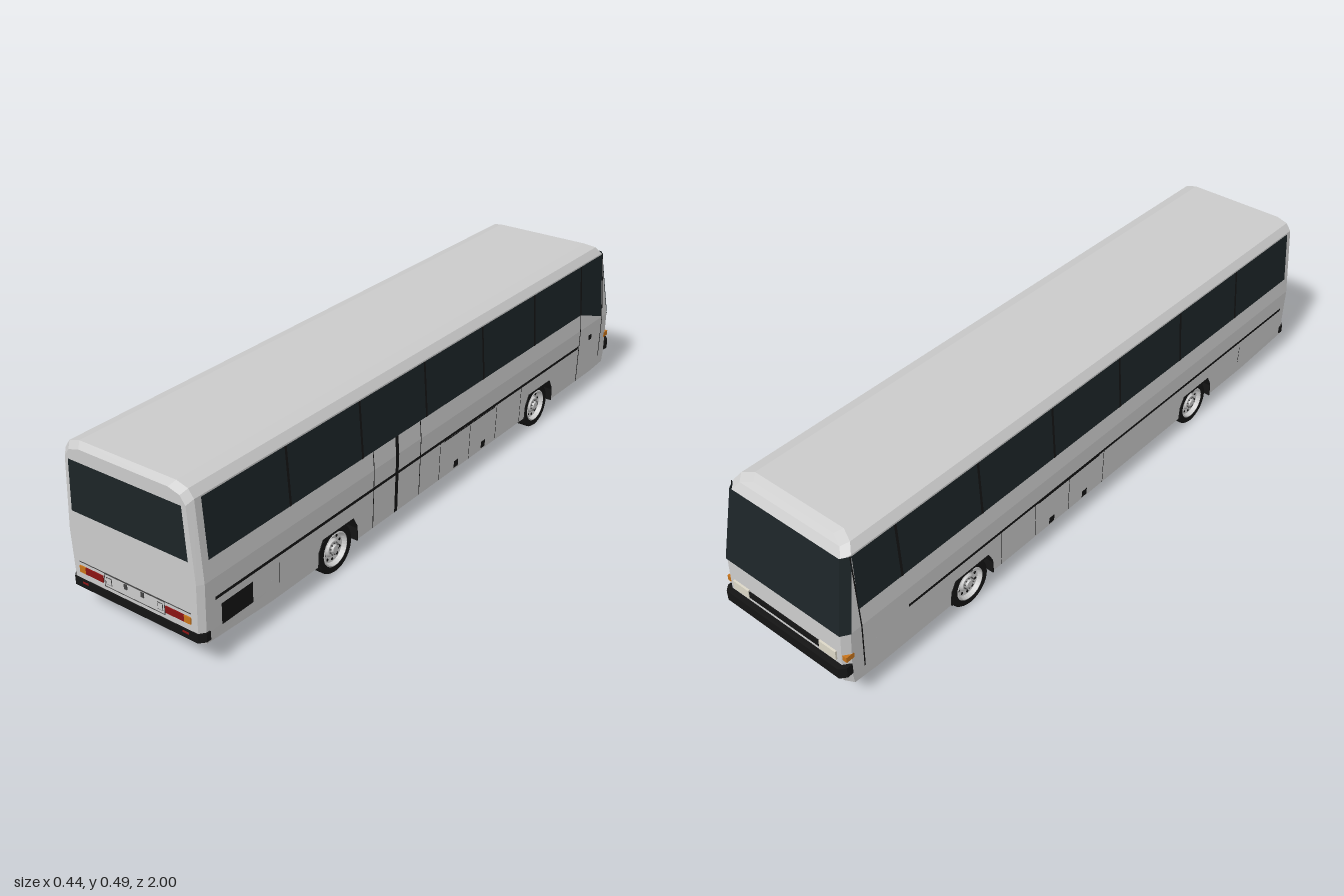
import * as THREE from 'three';

const mat = (color, side = THREE.FrontSide) =>
  new THREE.MeshStandardMaterial({ color, side, flatShading: true });
const grey = mat(0xcccccc), black = mat(0x141414), darkGrey = mat(0x444444);
const greyThin = mat(0xcccccc, THREE.DoubleSide);
const glass = mat(0x1c2427, THREE.DoubleSide), trim = mat(0x141414, THREE.DoubleSide);
const red = mat(0x8a1414), amber = mat(0xc8741a), lamp = mat(0xddd8c8);

// Half width of the coach side at height y: widest at the belt
const half = y => y < 0.24 ? 0.214 + (y - 0.06) / 30 : 0.22 - (y - 0.24) * 0.0636;
// Position of the raked cab end at height y
const cabZ = y => y < 0.24 ? -0.98 : -0.98 + (y - 0.24) * 0.18;
const WHEELS = [0.485, -0.535];
const ARCH = [[-0.082, 0.06], [-0.08, 0.105], [-0.064, 0.135], [0.064, 0.135], [0.08, 0.105], [0.082, 0.06]];

function add(parent, name, geometry, material, x = 0, y = 0, z = 0) {
  const m = new THREE.Mesh(geometry, material);
  m.name = name;
  m.position.set(x, y, z);
  parent.add(m);
  return m;
}

function box(parent, name, material, w, h, d, x, y, z) {
  return add(parent, name, new THREE.BoxGeometry(w, h, d), material, x, y, z);
}

const shapeOf = pts => new THREE.Shape(pts.map(p => new THREE.Vector2(...p)));

// Polygon given as (z, y) and laid onto side s (+1 or -1)
function sidePatch(parent, name, pts, s, material, out = 0.0015) {
  const g = new THREE.ShapeGeometry(shapeOf(pts));
  const p = g.attributes.position;
  for (let i = 0; i < p.count; i++) {
    const z = p.getX(i), y = p.getY(i);
    p.setXYZ(i, s * (half(y) + out), y, z);
  }
  if (s > 0) g.setIndex(Array.from(g.index.array).reverse());
  g.computeVertexNormals();
  return add(parent, name, g, material);
}

// Rectangle on the side, split at the belt where the side bends
function sideRect(parent, name, z0, z1, y0, y1, s, material, out) {
  if (y0 < 0.24 && y1 > 0.24) {
    sideRect(parent, name, z0, z1, y0, 0.24, s, material, out);
    y0 = 0.24;
  }
  sidePatch(parent, name, [[z0, y0], [z1, y0], [z1, y1], [z0, y1]], s, material, out);
}

function triangles(quads) {
  const v = [];
  for (const [a, b, c, d] of quads) v.push(...a, ...b, ...c, ...a, ...c, ...d);
  const g = new THREE.BufferGeometry();
  g.setAttribute('position', new THREE.Float32BufferAttribute(v, 3));
  g.computeVertexNormals();
  return g;
}

// Shell lofted from the tail to the cab; the lower sides are left for the arched panels
function shell() {
  const profile = [[0.214, 0.06], [0.2153, 0.1], [0.22, 0.24], [0.206, 0.46], [0.19, 0.482], [0.155, 0.492]];
  const cab = [-0.98, -0.985, -0.98, -0.94, -0.925, -0.91];
  const stations = [
    { z: () => 0.996, inset: 0.012, drop: 0.014, low: 0.08 },
    { z: () => 0.98, inset: 0, drop: 0, low: 0.072 },
    { z: () => 0.75, inset: 0, drop: 0, low: 0.06 },
    { z: () => -0.88, inset: 0, drop: 0, low: 0.06 },
    { z: j => cab[j] + 0.02, inset: 0, drop: 0, low: 0.066 },
    { z: j => cab[j], inset: 0.015, drop: 0.01, low: 0.08 },
  ];
  const n = profile.length;
  const rings = stations.map(st => {
    const right = profile.map(([x, y], j) =>
      [x - st.inset, j === 0 ? st.low : j > 2 ? y - st.drop : y, st.z(j)]);
    return [...right, ...right.map(([x, y, z]) => [-x, y, z]).reverse()];
  });
  const quads = [];
  for (let i = 0; i < rings.length - 1; i++)
    for (let j = 0; j < 2 * n; j++) {
      const lowerSide = j < 2 || (j >= 2 * n - 3 && j < 2 * n - 1);
      if (i === 2 && lowerSide) continue;
      const k = (j + 1) % (2 * n), a = rings[i], b = rings[i + 1];
      quads.push([a[j], b[j], b[k], a[k]]);
    }
  const tail = rings[0], nose = rings[rings.length - 1];
  for (let j = 0; j < n - 1; j++) {
    const l = 2 * n - 1 - j;
    quads.push([tail[j], tail[j + 1], tail[l - 1], tail[l]]);
    quads.push([nose[l], nose[l - 1], nose[j + 1], nose[j]]);
  }
  return triangles(quads);
}

// Band wrapped round the cab end and its chamfered corners
function cabBand(y0, y1) {
  const row = y => [[-1, 0], [-1, 1], [1, 1], [1, 0]].map(([s, face]) =>
    face ? [s * (half(y) - 0.014), y, cabZ(y) - 0.004] : [s * (half(y) + 0.002), y, cabZ(y) + 0.02]);
  const a = row(y0), b = row(y1);
  return triangles([0, 1, 2].map(i => [a[i], b[i], b[i + 1], a[i + 1]]));
}

// Bumper with chamfered corners; dir is +1 at the tail and -1 at the cab
function bumper(parent, name, dir, y, h, depth) {
  const w = 0.219, e = depth;
  const g = new THREE.ExtrudeGeometry(
    shapeOf([[-w, -e], [w, -e], [w, -0.016], [w - 0.014, 0], [-w + 0.014, 0], [-w, -0.016]]),
    { depth: h, bevelEnabled: false });
  g.rotateX(Math.PI / 2);
  const m = add(parent, name, g, black, 0, y + h, dir);
  if (dir < 0) m.rotation.y = Math.PI;
}

function wheel(parent, s, z) {
  const g = new THREE.Group();
  g.name = 'wheel';
  const v = pts => pts.map(p => new THREE.Vector2(...p));
  const tyre = new THREE.LatheGeometry(v([[0.045, -0.026], [0.066, -0.026], [0.07, -0.021],
    [0.07, 0.021], [0.066, 0.026], [0.05, 0.026], [0.048, 0.018]]), 32);
  const rim = new THREE.LatheGeometry(v([[0.05, 0.025], [0.046, 0.027], [0.042, 0.014],
    [0.026, 0.012], [0.022, 0.02], [0.012, 0.02], [0.01, 0.026], [0, 0.026]]), 32);
  add(g, 'tyre', tyre, trim);
  add(g, 'rim', rim, greyThin);
  add(g, 'wheelBack', new THREE.CylinderGeometry(0.046, 0.046, 0.004, 24), black, 0, -0.022, 0);
  for (let i = 0; i < 10; i++) {
    const a = i * Math.PI / 5;
    add(g, 'wheelNut', new THREE.CylinderGeometry(0.002, 0.002, 0.004, 6), darkGrey,
      0.017 * Math.cos(a), 0.022, 0.017 * Math.sin(a));
    add(g, 'rimHole', new THREE.CylinderGeometry(0.004, 0.004, 0.002, 10), black,
      0.034 * Math.cos(a), 0.0135, 0.034 * Math.sin(a));
  }
  g.rotation.z = -s * Math.PI / 2;
  g.position.set(s * 0.181, 0.07, z);
  parent.add(g);
}

function side(parent, s) {
  // Lower panel with the wheel arches cut out
  const outline = [[-0.88, 0.06]];
  for (const wz of [...WHEELS].reverse()) outline.push(...ARCH.map(([z, y]) => [wz + z, y]));
  outline.push([0.75, 0.06], [0.75, 0.24], [-0.88, 0.24]);
  sidePatch(parent, 'lowerSidePanel', outline, s, greyThin, 0);

  for (const wz of WHEELS) {
    // Arch lining and the wall behind the wheel
    const inner = ARCH.map(([z, y]) => [z * 0.95, y > 0.06 ? y - 0.005 : y]);
    const lining = new THREE.ExtrudeGeometry(shapeOf([...ARCH, ...inner.reverse()]),
      { depth: 0.066, bevelEnabled: false });
    lining.rotateY(Math.PI / 2);
    add(parent, 'wheelArch', lining, trim, s > 0 ? 0.152 : -0.218, 0, wz);
    box(parent, 'archWall', black, 0.004, 0.075, 0.162, s * 0.15, 0.0975, wz);
    wheel(parent, s, wz);
  }

  // Window band, dipping beside the cab on one side
  const bottom = s > 0 ? [[-0.92, 0.245], [-0.78, 0.295]] : [[-0.925, 0.295]];
  sidePatch(parent, 'sideWindows', [...bottom, [0.96, 0.295], [0.96, 0.457], [-0.92, 0.457]], s, glass);
  for (let z = -0.78; z < 0.9; z += 0.29)
    sideRect(parent, 'windowDivider', z - 0.004, z + 0.004, 0.295, 0.457, s, trim, 0.0025);

  // Belt moulding, seams and locker locks
  sideRect(parent, 'beltMoulding', -0.77, 0.95, 0.181, 0.19, s, trim, 0.003);
  const seam = (z, y0, y1, w = 0.003) => sideRect(parent, 'seam', z - w / 2, z + w / 2, y0, y1, s, trim);
  for (const z of [0.02, -0.135, -0.28, -0.42]) seam(z, 0.062, 0.18, 0.002);
  sideRect(parent, 'lockerSeam', -0.27, 0, 0.176, 0.179, s, trim);
  for (const z of [-0.065, -0.21]) sideRect(parent, 'lockerLock', z - 0.011, z + 0.011, 0.068, 0.09, s, trim, 0.003);
  seam(0.72, 0.1, 0.16, 0.002);
  seam(-0.925, 0.1, 0.46, 0.004);
  if (s > 0) {
    // Doors and engine vent
    for (const z of [0.335, 0.12]) seam(z, 0.062, 0.295);
    seam(0.23, 0.062, 0.295, 0.014);
    seam(-0.78, 0.062, 0.295, 0.004);
    sideRect(parent, 'doorHandle', -0.86, -0.84, 0.186, 0.204, s, trim, 0.003);
    sideRect(parent, 'engineVent', 0.82, 0.93, 0.1, 0.16, s, trim, 0.003);
  }

  // Tail lamps and plate lamps
  box(parent, 'tailLamp', red, 0.06, 0.019, 0.006, s * 0.134, 0.134, 0.996);
  box(parent, 'tailIndicator', amber, 0.021, 0.019, 0.006, s * 0.1745, 0.134, 0.996);
  box(parent, 'reflector', red, 0.02, 0.006, 0.003, s * 0.168, 0.097, 0.999);
  box(parent, 'plateLamp', darkGrey, 0.01, 0.014, 0.004, s * 0.028, 0.142, 0.996);
  box(parent, 'tailHatch', darkGrey, 0.018, 0.02, 0.002, s * 0.085, 0.134, 0.996);
  box(parent, 'tailHatchLid', grey, 0.015, 0.017, 0.003, s * 0.085, 0.134, 0.996);
  box(parent, 'plateFrame', darkGrey, 0.0015, 0.036, 0.002, s * 0.1, 0.134, 0.996);

  // Headlamps and corner indicators
  box(parent, 'headlamp', lamp, 0.058, 0.028, 0.012, s * 0.158, 0.164, -0.982);
  box(parent, 'cornerIndicator', amber, 0.014, 0.016, 0.026, s * 0.211, 0.164, -0.968);
}

export function createModel() {
  const bus = new THREE.Group();
  bus.name = 'coach';
  add(bus, 'bodyShell', shell(), grey);
  for (const s of [1, -1]) side(bus, s);

  // Tail
  const rearGlass = new THREE.ShapeGeometry(shapeOf([[-0.19, 0.298], [0.19, 0.298], [0.182, 0.443], [-0.182, 0.443]]));
  add(bus, 'rearWindow', rearGlass, glass, 0, 0, 0.998);
  box(bus, 'engineLidSeam', darkGrey, 0.37, 0.002, 0.002, 0, 0.154, 0.996);
  for (const y of [0.116, 0.152]) box(bus, 'plateFrame', darkGrey, 0.2, 0.0015, 0.002, 0, y, 0.996);
  bumper(bus, 'rearBumper', 1, 0.081, 0.024, 0.03);

  // Cab end
  add(bus, 'windscreen', cabBand(0.241, 0.457), glass);
  box(bus, 'grille', black, 0.26, 0.02, 0.008, 0, 0.163, -0.982);
  bumper(bus, 'cabBumper', -1, 0.108, 0.032, 0.035);
  return bus;
}
